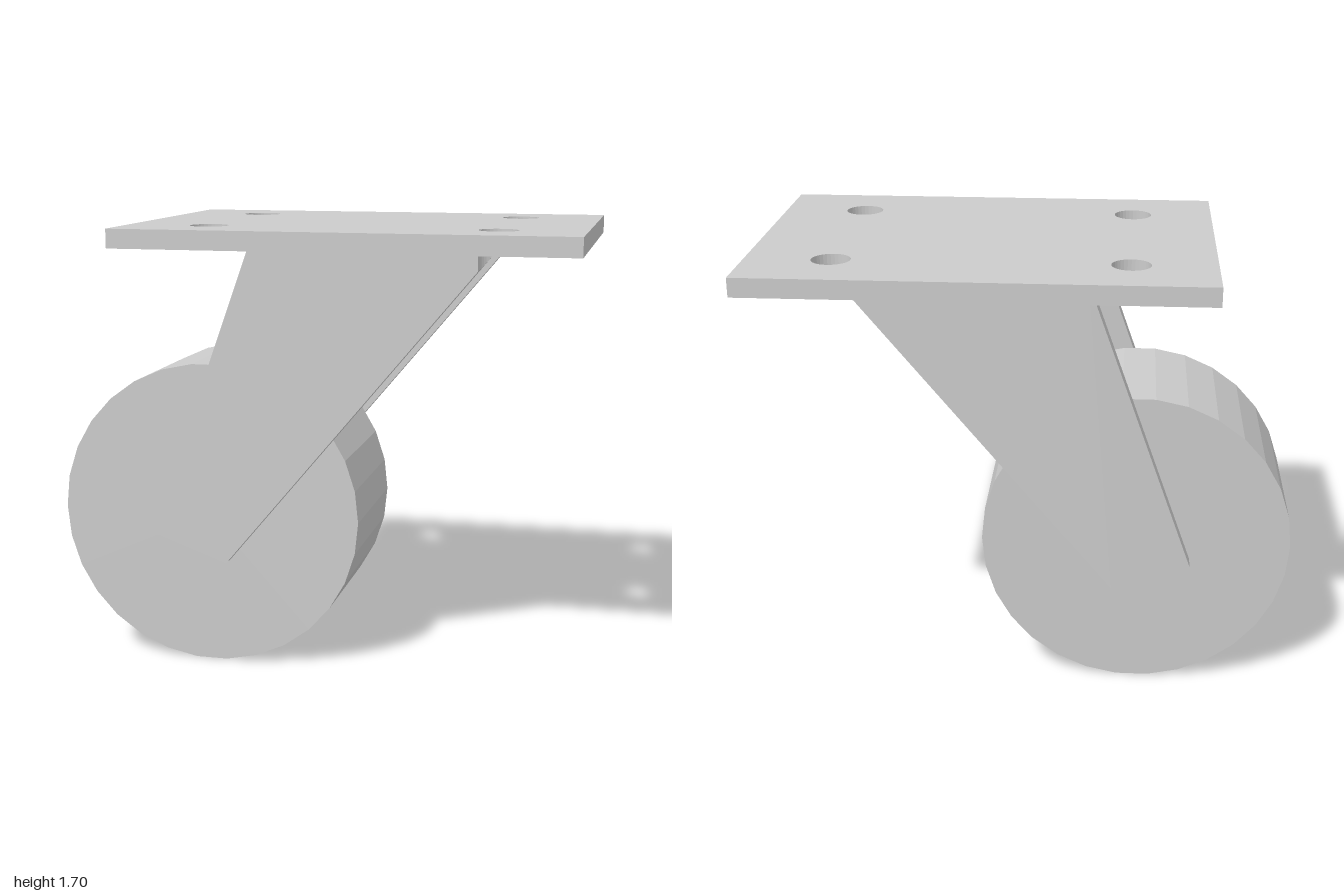
import * as THREE from 'three';

const HOLE_R = 0.071, HOLE_Z = 0.353, FRONT_HOLE_X = 0.69;
const PLATE_Y = 1.628, INNER_Z = 0.283, FORK_T = 0.07;

const grey = () => new THREE.MeshStandardMaterial({ color: 0xcccccc, flatShading: true });

function part(name, geometry) {
  const mesh = new THREE.Mesh(geometry, grey());
  mesh.name = name;
  return mesh;
}

// Flat mounting plate with four bolt holes
function mountingPlate() {
  const shape = new THREE.Shape([[-0.675, -0.602], [1, -0.602], [1, 0.602], [-0.675, 0.602]]
    .map(([x, y]) => new THREE.Vector2(x, y)));
  for (const x of [-0.37, FRONT_HOLE_X]) {
    for (const z of [-HOLE_Z, HOLE_Z]) {
      shape.holes.push(new THREE.Path().absarc(x, z, HOLE_R, 0, Math.PI * 2, true));
    }
  }
  const geo = new THREE.ExtrudeGeometry(shape, { depth: 0.07, bevelEnabled: false, curveSegments: 16 });
  geo.rotateX(-Math.PI / 2).translate(0, PLATE_Y, 0);
  return part('mountingPlate', geo);
}

// Slanted fork arm; its upper tip is scooped out by the bolt hole above it
function forkArm(name, side) {
  const slope = 1.203, footX = -0.325, footY = 0.415;
  const tipX = footX + (PLATE_Y - footY) / slope;
  const shape = new THREE.Shape([[-0.222, PLATE_Y], [-0.62, 0.52], [footX, footY], [0.62, 1.552], [0.62, PLATE_Y]]
    .map(([x, y]) => new THREE.Vector2(x, y)));
  const geo = new THREE.ExtrudeGeometry(shape, { depth: FORK_T, steps: 8, bevelEnabled: false });
  geo.translate(0, 0, side > 0 ? INNER_Z : -INNER_Z - FORK_T);

  // Slide the tip corners onto the bolt hole's cylinder
  const pos = geo.attributes.position;
  for (let i = 0; i < pos.count; i++) {
    if (pos.getX(i) < 0.6) continue;
    const dz = Math.abs(pos.getZ(i)) - HOLE_Z;
    const scoopX = FRONT_HOLE_X - Math.sqrt(Math.max(0, HOLE_R ** 2 - dz ** 2));
    const x = Math.min(scoopX, tipX - 0.001);
    const onTop = pos.getY(i) > PLATE_Y - 0.01;
    pos.setXY(i, x, onTop ? PLATE_Y : footY + (x - footX) * slope);
  }
  geo.computeVertexNormals();
  return part(name, geo);
}

// Faceted solid wheel, axle along z
function wheel() {
  const geo = new THREE.CylinderGeometry(0.588, 0.588, INNER_Z * 2, 30, 1, false, Math.PI / 2);
  geo.rotateX(Math.PI / 2).translate(-0.412, 0.585, 0);
  return part('wheel', geo);
}

export function createModel() {
  const caster = new THREE.Group();
  caster.name = 'casterWheel';
  caster.add(mountingPlate(), forkArm('frontForkArm', 1), forkArm('backForkArm', -1), wheel());
  return caster;
}
